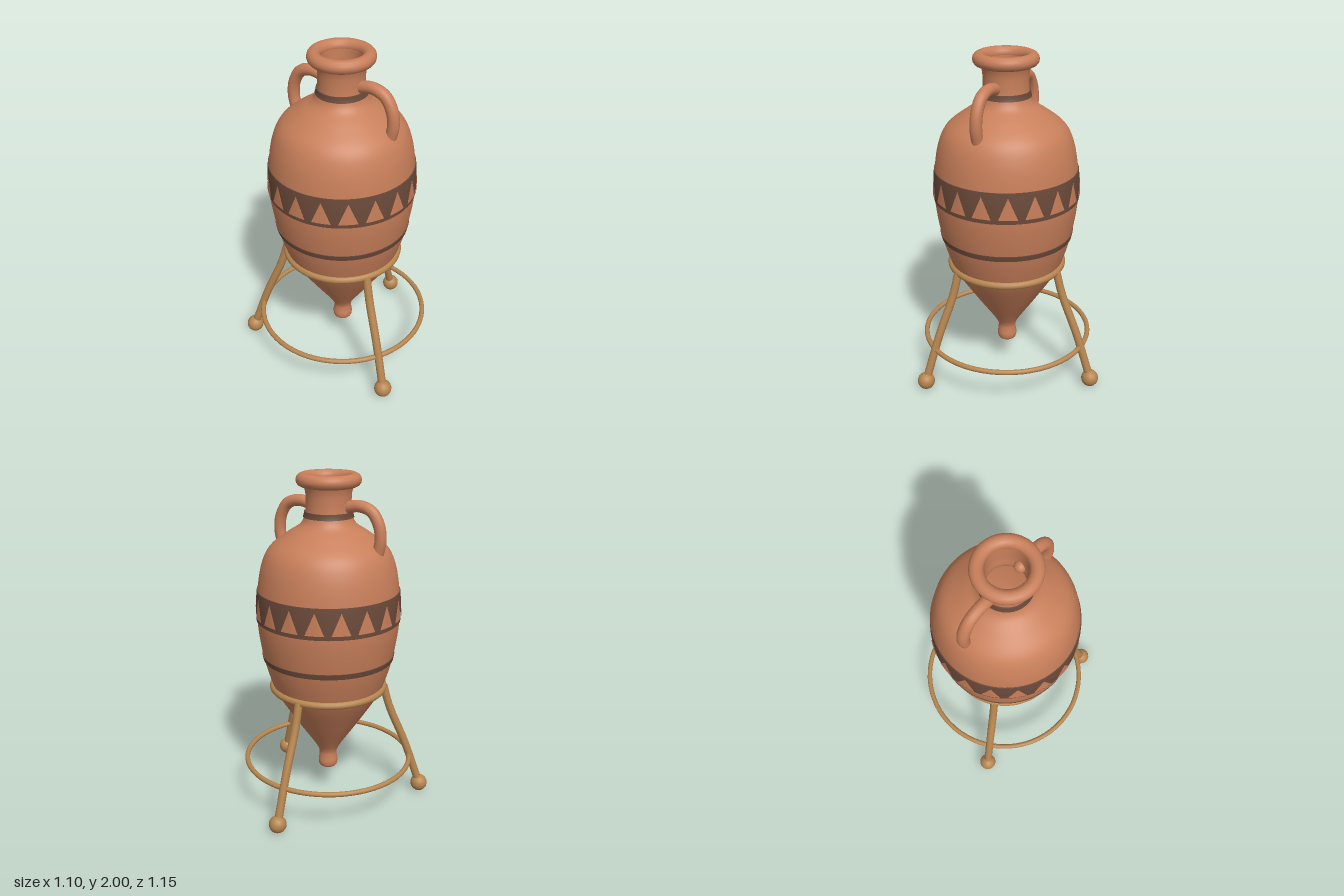
import * as THREE from 'three';

const clay = new THREE.MeshStandardMaterial({ color: 0xc87f5a });
const darkSlip = new THREE.MeshStandardMaterial({ color: 0x6b4a3a });
const wood = new THREE.MeshStandardMaterial({ color: 0xb5854f });
clay.name = 'clay';
darkSlip.name = 'darkSlip';
wood.name = 'wood';

const AXIS_Z = 0.053;
const curve2 = (pts, n) => new THREE.SplineCurve(pts.map(p => new THREE.Vector2(...p))).getPoints(n);

// Outer profile of the vessel, from the foot knob up to the rim
const outer = curve2([
  [0.03, 0.172], [0.052, 0.185], [0.059, 0.215], [0.054, 0.255], [0.056, 0.29], [0.085, 0.345],
  [0.19, 0.5], [0.305, 0.68], [0.35, 0.79], [0.387, 0.925], [0.413, 1.08], [0.42, 1.2],
  [0.413, 1.34], [0.388, 1.48], [0.34, 1.58], [0.24, 1.66], [0.165, 1.71], [0.137, 1.76],
  [0.13, 1.82], [0.132, 1.89], [0.145, 1.94],
], 120);
// Inner wall, from the mouth down to the floor
const inner = curve2([
  [0.112, 1.96], [0.11, 1.85], [0.112, 1.75], [0.2, 1.66], [0.34, 1.5], [0.39, 1.2],
  [0.35, 0.85], [0.25, 0.65], [0.1, 0.42], [0.001, 0.36],
], 50);

function radiusAt(y) {
  const i = Math.max(1, outer.findIndex(p => p.y >= y));
  const a = outer[i - 1], b = outer[i];
  return a.x + (b.x - a.x) * (y - a.y) / (b.y - a.y);
}

function add(parent, name, geometry, material) {
  const mesh = new THREE.Mesh(geometry, material);
  mesh.name = name;
  parent.add(mesh);
  return mesh;
}

function ring(parent, name, radius, tube, y, material) {
  const mesh = add(parent, name, new THREE.TorusGeometry(radius, tube, 14, 64), material);
  mesh.rotation.x = Math.PI / 2;
  mesh.position.y = y;
}

// Painted stripe that hugs the vessel wall, with closed edges
function band(parent, name, y0, y1, lift) {
  const pts = [];
  for (let i = 0; i <= 8; i++) {
    const y = y0 + (y1 - y0) * i / 8;
    pts.push(new THREE.Vector2(radiusAt(y) + lift, y));
  }
  add(parent, name, new THREE.LatheGeometry(pts, 72), darkSlip);
  for (const [y, sign] of [[y0, -1], [y1, 1]]) {
    const r = radiusAt(y);
    const edge = [new THREE.Vector2(r - 0.005, y), new THREE.Vector2(r + lift, y)];
    if (sign > 0) edge.reverse();
    add(parent, name + 'Edge', new THREE.LatheGeometry(edge, 72), darkSlip);
  }
}

// One upright triangle wrapped on the wall at a given angle
function triangle(angle) {
  const at = (a, y) => {
    const r = radiusAt(y) + 0.009;
    return [r * Math.sin(angle + a), y, r * Math.cos(angle + a)];
  };
  const apex = at(0, 1.31), pos = [], half = 0.128;
  for (let i = 0; i < 4; i++) {
    pos.push(...at(half * (i / 2 - 1), 1.18), ...at(half * ((i + 1) / 2 - 1), 1.18), ...apex);
  }
  const g = new THREE.BufferGeometry();
  g.setAttribute('position', new THREE.Float32BufferAttribute(pos, 3));
  g.computeVertexNormals();
  return g;
}

// Round rod through a few points
function rod(parent, name, pts, radius, material) {
  const path = new THREE.CatmullRomCurve3(pts.map(p => new THREE.Vector3(...p)));
  add(parent, name, new THREE.TubeGeometry(path, 32, radius, 14), material);
}

function ball(parent, name, radius, position, material) {
  add(parent, name, new THREE.SphereGeometry(radius, 16, 12), material).position.set(...position);
}

export function createModel() {
  const model = new THREE.Group();
  model.name = 'amphoraOnStand';
  const amphora = new THREE.Group();
  amphora.name = 'amphora';
  const stand = new THREE.Group();
  stand.name = 'stand';
  amphora.position.z = stand.position.z = AXIS_Z;
  model.add(amphora, stand);

  // Vessel, with its foot closed on the axis, and rolled rim
  add(amphora, 'body', new THREE.LatheGeometry(
    [new THREE.Vector2(0, 0.17), ...outer, ...inner, new THREE.Vector2(0, 0.36)], 72), clay);
  ring(amphora, 'rim', 0.148, 0.038, 1.962, clay);

  // Painted decoration
  band(amphora, 'neckBand', 1.755, 1.787, 0.007);
  band(amphora, 'wideBand', 1.155, 1.335, 0.005);
  band(amphora, 'lowerBand', 0.91, 0.942, 0.005);
  for (let i = 0; i < 18; i++) add(amphora, 'triangle', triangle(i * Math.PI / 9), clay);

  // Handles with rounded ends
  for (const s of [1, -1]) {
    const handle = new THREE.Group();
    handle.name = s > 0 ? 'leftHandle' : 'rightHandle';
    amphora.add(handle);
    const pts = [[0.105, 1.815], [0.2, 1.83], [0.275, 1.805], [0.32, 1.735], [0.332, 1.65], [0.315, 1.565]]
      .map(([x, y]) => [s * x, y, 0]);
    rod(handle, 'handleRod', pts, 0.034, clay);
    ball(handle, 'handleTop', 0.034, pts[0], clay);
    ball(handle, 'handleRoot', 0.034, pts[5], clay);
  }

  // Stand: two hoops and three splayed legs on ball feet
  ring(stand, 'upperHoop', 0.333, 0.022, 0.728, wood);
  ring(stand, 'lowerHoop', 0.505, 0.015, 0.252, wood);
  for (let i = 0; i < 3; i++) {
    const leg = new THREE.Group();
    leg.name = 'leg';
    leg.rotation.y = Math.PI + i * Math.PI * 2 / 3;
    stand.add(leg);
    rod(leg, 'legRod', [[0, 0.728, 0.335], [0, 0.58, 0.377], [0, 0.34, 0.477], [0, 0.052, 0.577]], 0.024, wood);
    ball(leg, 'foot', 0.052, [0, 0.052, 0.577], wood);
  }
  return model;
}
